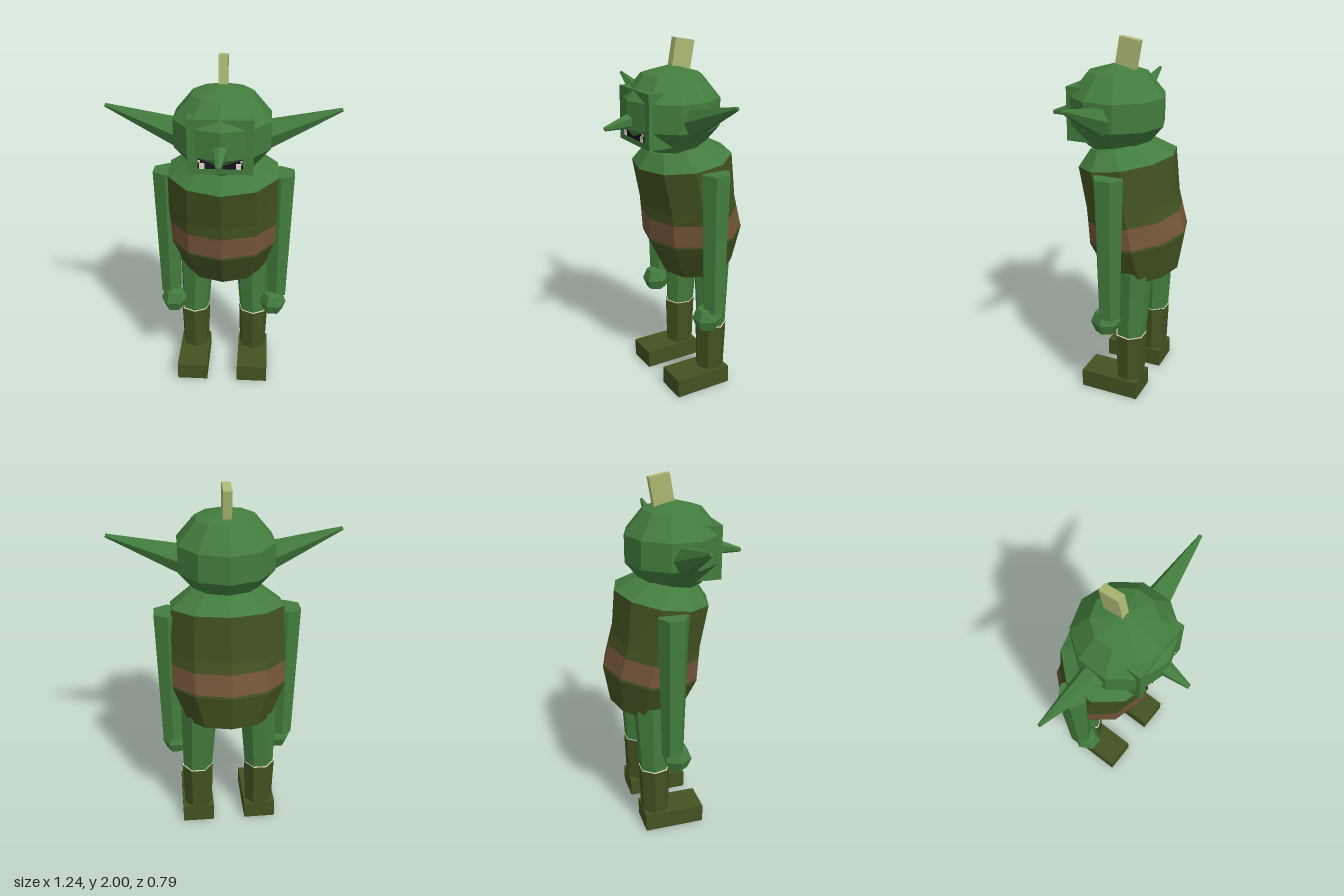
import * as THREE from 'three';

const flat = (name, color, side = THREE.FrontSide) => {
  const m = new THREE.MeshStandardMaterial({ color, flatShading: true, side });
  m.name = name;
  return m;
};

export function createModel() {
  const skin = flat('green skin', 0x437d3e);
  const olive = flat('olive cloth', 0x435221);
  const brown = flat('brown belt leather', 0x74553a);
  const straw = flat('straw hair', 0xacb872);
  const dark = flat('dark mouth', 0x1c1024);
  const cream = flat('cream', 0xe4dfc8);

  const model = new THREE.Group();
  model.name = 'goblin';

  const add = (name, geometry, material, x = 0, y = 0, z = 0) => {
    const mesh = new THREE.Mesh(geometry, material);
    mesh.name = name;
    mesh.position.set(x, y, z);
    model.add(mesh);
    return mesh;
  };

  // Tapered prism running from point a to point b
  const limb = (name, material, a, b, ra, rb, sides, depth = 1) => {
    const from = new THREE.Vector3(...a), to = new THREE.Vector3(...b);
    const dir = to.clone().sub(from);
    const mesh = add(name, new THREE.CylinderGeometry(rb, ra, dir.length(), sides), material);
    mesh.position.copy(from).add(to).multiplyScalar(0.5);
    mesh.quaternion.setFromUnitVectors(new THREE.Vector3(0, 1, 0), dir.normalize());
    mesh.scale.z = depth;
    return mesh;
  };

  // Surface through tilted ten-sided rings, listed from top to bottom.
  // Ring: [half width, front z, back z, front y, back y]
  const SIDES = 10;
  const loft = (rings) => {
    const pos = [], index = [];
    for (const [w, zf, zb, yf, yb] of rings) {
      for (let j = 0; j < SIDES; j++) {
        const a = (j / SIDES) * Math.PI * 2, t = (1 - Math.cos(a)) / 2;
        pos.push(w * Math.sin(a), yf + (yb - yf) * t, zf + (zb - zf) * t);
      }
    }
    for (let i = 0; i < rings.length - 1; i++) {
      for (let j = 0; j < SIDES; j++) {
        const k = (j + 1) % SIDES;
        const tl = i * SIDES + j, tr = i * SIDES + k, bl = tl + SIDES, br = tr + SIDES;
        index.push(tl, bl, tr, bl, br, tr);
      }
    }
    const g = new THREE.BufferGeometry();
    g.setAttribute('position', new THREE.Float32BufferAttribute(pos, 3));
    g.setIndex(index);
    g.computeVertexNormals();
    return g;
  };
  const mix = (a, b, t) => a.map((v, i) => v + (b[i] - v) * t);

  // Torso: hunched shoulders, tunic and belt
  const neckTop = [0.001, -0.02, -0.021, 1.45, 1.45];
  const neck = [0.2, 0.14, -0.17, 1.41, 1.47];
  const shoulder = [0.315, 0.2, -0.32, 1.32, 1.4];
  const chest = [0.322, 0.15, -0.342, 1.095, 1.15];
  const waist = [0.323, 0.137, -0.397, 0.885, 0.96];
  const hem = [0.24, 0.035, -0.362, 0.68, 0.75];
  const hemCentre = [0.001, -0.16, -0.161, 0.715, 0.715];
  const beltTop = mix(chest, waist, 0.33), beltLow = mix(chest, waist, 0.93);
  add('shoulders', loft([neckTop, neck, shoulder]), skin);
  add('tunicTop', loft([shoulder, chest, beltTop]), olive);
  add('belt', loft([beltTop, beltLow]), brown);
  add('tunicSkirt', loft([beltLow, waist, hem, hemCentre]), olive);

  // Head and square face
  const head = add('head', new THREE.SphereGeometry(1, SIDES, 5).rotateY(Math.PI / 2), skin, 0, 1.622, 0.004);
  head.scale.set(0.28, 0.243, 0.275);
  add('face', new THREE.BoxGeometry(0.335, 0.29, 0.16), skin, 0, 1.605, 0.145);
  limb('nose', skin, [0, 1.6, 0.2], [0, 1.562, 0.395], 0.052, 0.012, 6);

  // Mouth with corner teeth
  add('mouth', new THREE.BoxGeometry(0.23, 0.055, 0.008), dark, 0, 1.52, 0.226);
  for (const s of [-1, 1]) {
    add('cornerTooth', new THREE.BoxGeometry(0.026, 0.03, 0.006), cream, s * 0.093, 1.508, 0.23);
    add('smallTooth', new THREE.BoxGeometry(0.012, 0.014, 0.006), cream, s * 0.107, 1.534, 0.23);
  }

  // Hair tuft leaning back
  add('hairTuft', new THREE.BoxGeometry(0.046, 0.2, 0.112), straw, 0, 1.893, -0.053).rotation.x = -0.17;

  for (const s of [-1, 1]) {
    const side = s > 0 ? 'left' : 'right';

    // Ear
    limb(side + 'Ear', skin, [s * 0.2, 1.587, 0.004], [s * 0.615, 1.738, 0], 0.085, 0.01, 6, 0.9);

    // Arm and fist
    limb(side + 'Arm', skin, [s * 0.318, 0.54, -0.09], [s * 0.318, 1.34, -0.085], 0.063, 0.085, 6, 0.98);
    add(side + 'Hand', new THREE.SphereGeometry(0.085, 6, 4), skin, s * 0.3, 0.493, -0.06).scale.x = 0.92;

    // Leg, boot and foot
    limb(side + 'Leg', skin, [s * 0.18, 0.375, -0.16], [s * 0.165, 0.78, -0.165], 0.085, 0.104, 7);
    add(side + 'BootCuff', new THREE.CylinderGeometry(0.09, 0.09, 0.006, 7), cream, s * 0.181, 0.381, -0.159);
    add(side + 'Boot', new THREE.CylinderGeometry(0.091, 0.082, 0.29, 7), olive, s * 0.181, 0.235, -0.158);
    add(side + 'Foot', new THREE.BoxGeometry(0.182, 0.105, 0.342), olive, s * 0.183, 0.0525, -0.063);
  }

  return model;
}
